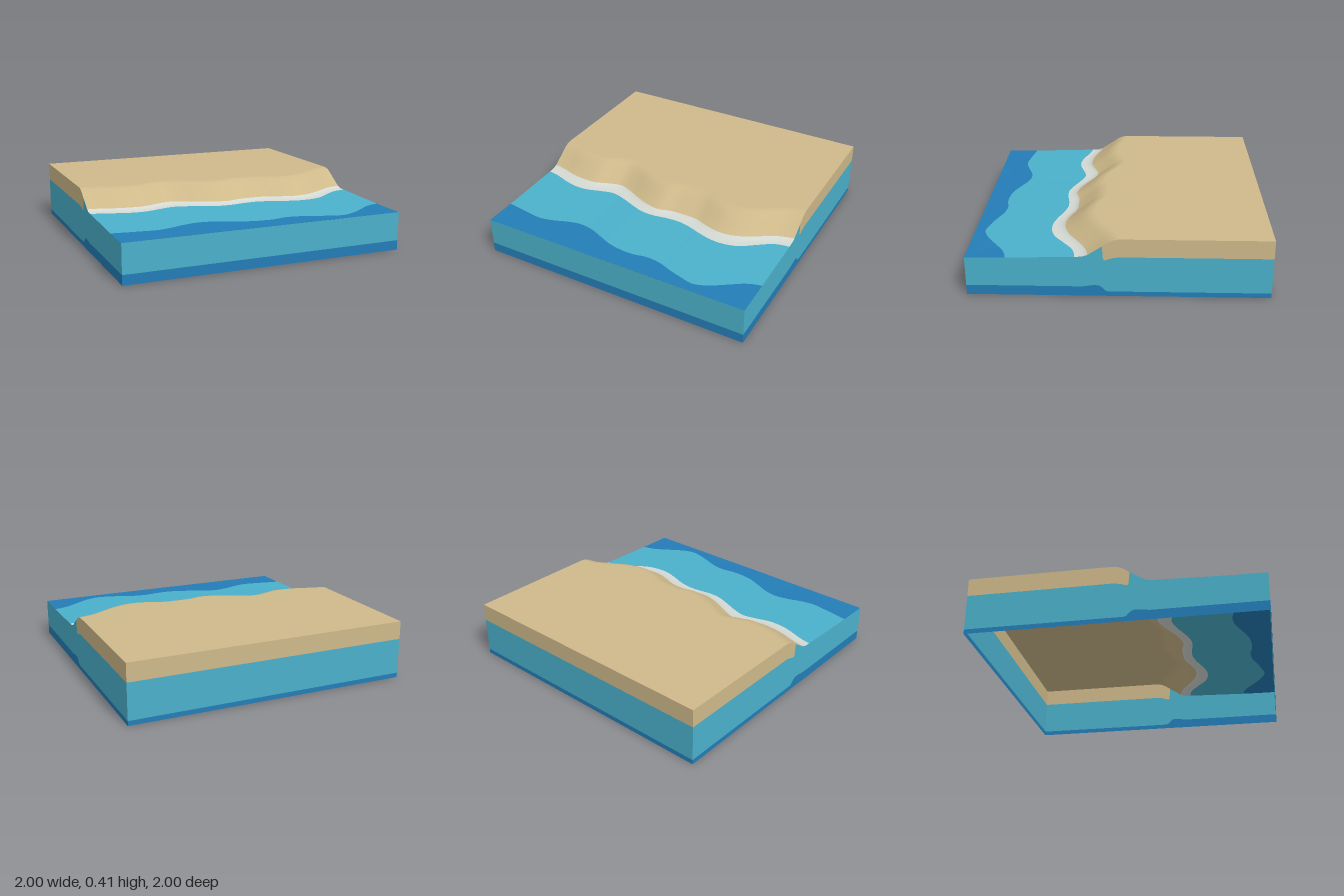
import * as THREE from 'three';

const paint = (name, color) => {
  const m = new THREE.MeshStandardMaterial({ color, side: THREE.DoubleSide });
  m.name = name;
  return m;
};

// Smooth shoreline curve from evenly spaced z values over x = -1..1
const shoreline = (values) => {
  const n = values.length - 1;
  const curve = new THREE.SplineCurve(values.map((z, i) => new THREE.Vector2(-1 + (2 * i) / n, z)));
  return (x) => curve.getPoint((x + 1) / 2).y;
};

// Piecewise linear lookup in [position, value] keys
const lookup = (keys, p) => {
  if (p <= keys[0][0]) return keys[0][1];
  for (let i = 1; i < keys.length; i++) {
    const [a, va] = keys[i - 1], [b, vb] = keys[i];
    if (p <= b) return va + ((vb - va) * (p - a)) / (b - a);
  }
  return keys[keys.length - 1][1];
};

const sandEdge = shoreline([0.2, 0.22, 0.25, 0.265, 0.265, 0.23, 0.205, 0.235, 0.285, 0.325, 0.342,
  0.318, 0.315, 0.32, 0.355, 0.38, 0.375, 0.34, 0.28, 0.225, 0.2]);
const foamEdge = shoreline([0.285, 0.305, 0.34, 0.36, 0.355, 0.325, 0.305, 0.33, 0.37, 0.405, 0.41,
  0.395, 0.39, 0.41, 0.445, 0.47, 0.47, 0.44, 0.37, 0.305, 0.285]);
const deepEdge = shoreline([0.77, 0.785, 0.8, 0.81, 0.79, 0.755, 0.735, 0.75, 0.79, 0.83, 0.85,
  0.852, 0.835, 0.845, 0.88, 0.91, 0.93, 0.895, 0.83, 0.765, 0.735]);

// Beach height by distance in front of the sand edge
const slope = [[-0.21, 0.413], [-0.19, 0.411], [-0.16, 0.403], [-0.13, 0.387], [-0.1, 0.366], [-0.05, 0.333],
  [0, 0.3], [0.03, 0.289], [0.06, 0.286], [0.6, 0.271], [0.8, 0.27]];
const height = (x, z) => lookup(slope, z - sandEdge(x));

// Layer boundaries on the side walls, by z
const deepTop = [[-1, 0.033], [0.07, 0.033], [0.09, 0.042], [0.11, 0.065], [0.13, 0.078], [0.17, 0.078],
  [0.24, 0.068], [1, 0.068]];
const waterTop = [[-1, 0.285], [0, 0.285], [0.04, 0.278], [0.09, 0.262], [0.1, 0.27], [0.106, 0.5], [1, 0.5]];

// Grid surface from rows of points, one row after another
function gridGeometry(rows) {
  const cols = rows[0].length, index = [];
  for (let r = 0; r < rows.length - 1; r++) {
    for (let c = 0; c < cols - 1; c++) {
      const a = r * cols + c, b = a + cols;
      index.push(a, b, a + 1, a + 1, b, b + 1);
    }
  }
  const g = new THREE.BufferGeometry();
  g.setAttribute('position', new THREE.Float32BufferAttribute(rows.flat(2), 3));
  g.setIndex(index);
  g.computeVertexNormals();
  return g;
}

export function createModel() {
  const sand = paint('sand', 0xceb98a);
  const foam = paint('foam', 0xd4d9d3);
  const water = paint('shallowWater', 0x4bb1cb);
  const deep = paint('deepWater', 0x237db7);
  const model = new THREE.Group();
  model.name = 'beachTile';
  const add = (name, geometry, material) => {
    const mesh = new THREE.Mesh(geometry, material);
    mesh.name = name;
    model.add(mesh);
  };

  // Top surface: each row follows the coast, coloured in bands of rows
  const mix = (f, g, k) => (x) => f(x) + (g(x) - f(x)) * k;
  const back = () => -1, front = () => 1;
  const sandRows = [back, mix(back, sandEdge, 0.6),
    ...slope.filter(([t]) => t < 0).map(([t]) => (x) => sandEdge(x) + t)];
  const foamRows = [sandEdge, (x) => sandEdge(x) + 0.03, (x) => sandEdge(x) + 0.06];
  const waterRows = [foamEdge, mix(foamEdge, deepEdge, 0.5)];
  const deepRows = [deepEdge, mix(deepEdge, front, 0.5)];
  const bands = [sandRows, foamRows, waterRows, deepRows];
  const cols = 120;
  const rows = [...bands.flat(), front].map((zAt) =>
    Array.from({ length: cols + 1 }, (_, i) => {
      const x = -1 + (2 * i) / cols, z = zAt(x);
      return [x, height(x, z), z];
    }));
  const top = gridGeometry(rows);
  let start = 0;
  bands.forEach((band, i) => {
    const count = band.length * cols * 6;
    top.addGroup(start, count, i);
    start += count;
  });
  add('beachSurface', top, [sand, foam, water, deep]);

  // Side walls: three layers, the sand wedge ending at the slope
  for (const side of [-1, 1]) {
    const label = side > 0 ? 'left' : 'right';
    const x = side;
    const zs = [...new Set([...rows.map((r) => r[side > 0 ? cols : 0][2]),
      ...deepTop.map((k) => k[0]), ...waterTop.map((k) => k[0])])].sort((a, b) => (a - b) * side);
    const deepY = (z) => lookup(deepTop, z);
    const topY = (z) => height(x, z);
    const waterY = (z) => Math.min(lookup(waterTop, z), topY(z));
    const wall = (name, low, high, material, zMax = 1) => {
      const used = zs.filter((z) => z <= zMax);
      add(label + name, gridGeometry([high, low].map((f) => used.map((z) => [x, f(z), z])).map((r) => r.reverse())),
        material);
    };
    wall('DeepWall', () => 0, deepY, deep);
    wall('WaterWall', deepY, waterY, water);
    wall('SandWall', waterY, topY, sand, 0.106);
  }

  // Front and back walls
  const panel = (name, z, low, high, material) => {
    const g = new THREE.PlaneGeometry(2, high - low);
    if (z < 0) g.rotateY(Math.PI);
    add(name, g.translate(0, (low + high) / 2, z), material);
  };
  panel('frontDeepWall', 1, 0, 0.068, deep);
  panel('frontWaterWall', 1, 0.068, 0.27, water);
  panel('backDeepWall', -1, 0, 0.033, deep);
  panel('backWaterWall', -1, 0.033, 0.285, water);
  panel('backSandWall', -1, 0.285, 0.413, sand);

  return model;
}
